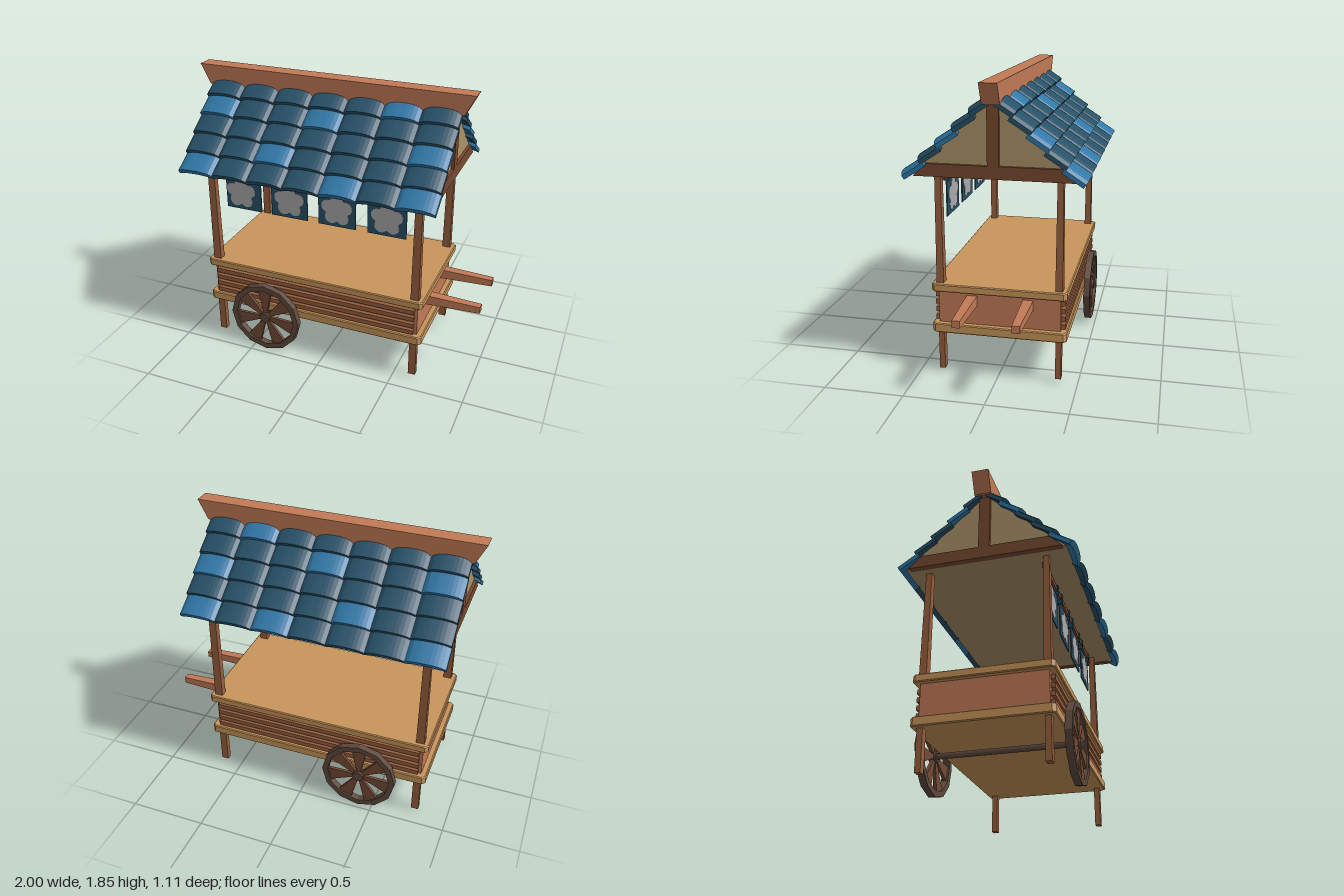
import * as THREE from 'three';

const mat = (name, color, side = THREE.FrontSide) => {
  const m = new THREE.MeshStandardMaterial({ color, side });
  m.name = name;
  return m;
};

export function createModel() {
  const M = {
    tile: mat('dark blue tile', 0x265067),
    tileLight: mat('light blue tile', 0x3077a6),
    wood: mat('post wood', 0x98603f),
    terracotta: mat('reddish wood', 0xc27a56),
    beam: mat('dark beam wood', 0x78492f),
    trim: mat('golden wood', 0xc8955a),
    gable: mat('tan plaster', 0xab9268),
    rim: mat('wheel rim', 0x5f4a3e),
    spoke: mat('wheel spokes', 0x734b36),
    flower: mat('pale flower', 0xaaaaaa),
  };
  const root = new THREE.Group();
  root.name = 'marketCart';
  const CX = -0.08; // middle of the cart body

  const add = (name, geo, material, x = 0, y = 0, z = 0, parent = root) => {
    const m = new THREE.Mesh(geo, material);
    m.name = name;
    m.position.set(x, y, z);
    parent.add(m);
    return m;
  };
  const box = (name, material, x0, x1, y0, y1, z0, z1, parent = root) =>
    add(name, new THREE.BoxGeometry(x1 - x0, y1 - y0, z1 - z0), material,
      (x0 + x1) / 2, (y0 + y1) / 2, (z0 + z1) / 2, parent);
  const shape = (pts) => new THREE.Shape(pts.map((p) => new THREE.Vector2(...p)));
  const extrude = (s, depth, bevel = 0) => new THREE.ExtrudeGeometry(s, {
    depth, bevelEnabled: bevel > 0, bevelSize: bevel, bevelThickness: bevel, bevelOffset: -bevel, bevelSegments: 1,
  });
  // Box along y whose top is scaled
  const tapered = (w, h, d, sw, sd) => {
    const g = new THREE.BoxGeometry(w, h, d);
    const p = g.attributes.position;
    for (let i = 0; i < p.count; i++) {
      if (p.getY(i) > 0) p.setXYZ(i, p.getX(i) * sw, p.getY(i), p.getZ(i) * sd);
    }
    g.computeVertexNormals();
    return g;
  };

  // Cart body, with chamfered slabs above and below
  box('cartBody', M.terracotta, -0.805, 0.645, 0.33, 0.56, -0.39, 0.372);
  const slab = (name, y0, y1) => {
    const a = 0.761, b = 0.42, c = 0.02;
    const s = shape([[-a + c, -b], [a - c, -b], [a, -b + c], [a, b - c], [a - c, b], [-a + c, b], [-a, b - c], [-a, -b + c]]);
    const g = extrude(s, y1 - y0 - 0.012, 0.006);
    g.translate(0, 0, 0.006);
    g.rotateX(-Math.PI / 2);
    add(name, g, M.trim, CX, y0, -0.01);
  };
  slab('tableTop', 0.55, 0.6);
  slab('bottomTrim', 0.28, 0.34);

  // Slats along the front and back
  for (let i = 0; i < 4; i++) {
    const y = 0.362 + i * 0.05;
    box('frontSlat', M.wood, -0.786, 0.626, y - 0.014, y + 0.016, 0.36, 0.398);
    box('backSlat', M.wood, -0.786, 0.626, y - 0.014, y + 0.016, -0.416, -0.38);
  }

  // Legs and slightly tapering roof posts
  for (const x of [-0.783, 0.624]) {
    for (const z of [0.36, -0.378]) {
      box('leg', M.wood, x - 0.024, x + 0.024, 0.022, 0.32, z - 0.018, z + 0.018);
      add('roofPost', tapered(0.054, 0.74, 0.046, 0.85, 0.8), M.wood, x, 0.95, z);
    }
  }

  // Push handles
  for (const z of [0.162, -0.188]) {
    const g = tapered(0.066, 0.37, 0.064, 0.68, 0.76);
    g.rotateZ(-Math.PI / 2);
    add('handle', g, M.terracotta, 0.815, 0.494, z);
  }

  // Wheels: twelve-sided rim, wedge spokes and hub
  const ring = (r) => Array.from({ length: 12 }, (_, i) => {
    const a = i * Math.PI / 6;
    return [r * Math.cos(a), r * Math.sin(a)];
  });
  const rimShape = shape(ring(0.25));
  rimShape.holes.push(new THREE.Path(ring(0.212).map((p) => new THREE.Vector2(...p))));
  const rimGeo = extrude(rimShape, 0.044);
  rimGeo.translate(0, 0, -0.022);
  const spokeGeo = extrude(shape([[-0.01, 0.02], [0.01, 0.02], [0.05, 0.212], [-0.05, 0.212]]), 0.02);
  spokeGeo.translate(0, 0, -0.01);
  const hubGeo = new THREE.CylinderGeometry(0.036, 0.036, 0.05, 10).rotateX(Math.PI / 2);
  for (const z of [0.435, -0.45]) {
    const wheel = new THREE.Group();
    wheel.name = 'wheel';
    wheel.position.set(-0.403, 0.25, z);
    root.add(wheel);
    add('wheelRim', rimGeo, M.rim, 0, 0, 0, wheel);
    add('wheelHub', hubGeo, M.rim, 0, 0, 0, wheel);
    for (let i = 0; i < 7; i++) {
      add('spoke', spokeGeo, M.spoke, 0, 0, 0, wheel).rotation.z = i * Math.PI * 2 / 7;
    }
  }
  add('axle', new THREE.CylinderGeometry(0.02, 0.02, 0.87, 8).rotateX(Math.PI / 2), M.rim, -0.403, 0.25, -0.0075);

  // Roof core with plaster gables and a flat ceiling
  const core = extrude(shape([[-0.5, 1.292], [0.5, 1.292], [0, 1.752]]), 1.59);
  core.translate(0, 0, -0.795);
  core.rotateY(Math.PI / 2);
  add('roofCore', core, M.gable, CX, 0, 0);

  // Gable timbers
  for (const s of [-1, 1]) {
    const g = extrude(shape([[-0.478, 1.288], [0.478, 1.288], [0.4, 1.365], [-0.4, 1.365]]), 0.04);
    g.translate(0, 0, -0.02);
    g.rotateY(Math.PI / 2);
    add('gableTie', g, M.beam, CX + s * 0.795, 0, 0);
    const x = CX + s * 0.795;
    box('gablePost', M.beam, x - 0.02, x + 0.02, 1.36, 1.735, -0.035, 0.035);
  }

  // Ridge beam with slanted ends
  const ridge = extrude(shape([[-1, 1.85], [-0.935, 1.722], [0.78, 1.722], [0.845, 1.85]]), 0.106);
  add('ridgeBeam', ridge, M.terracotta, 0, 0, -0.054);

  // Arched roof tiles in stepped rows, mirrored to both slopes
  const COLS = 7, ROWS = 5, W = 0.2407, L = 0.15;
  const arch = (t) => 1 - Math.abs(t) ** 2.6;
  const top = [], under = [];
  for (let i = 0; i <= 10; i++) {
    const t = i / 5 - 1;
    under.push([t * W / 2, 0.018 * arch(t) - 0.013]);
    top.unshift([t * W / 2, 0.02 + 0.022 * arch(t) - (Math.abs(t) === 1 ? 0.006 : 0)]);
  }
  const tileGeo = extrude(shape([...under, ...top]), L);
  tileGeo.translate(0, 0, -L);
  tileGeo.rotateX(0.576);
  const light = ['0,0', '4,0', '6,0', '2,1', '6,2', '0,3', '3,3', '5,4']; // column,row from the eave
  for (const side of [1, -1]) {
    const slope = new THREE.Group();
    slope.name = side > 0 ? 'frontRoofSlope' : 'backRoofSlope';
    root.add(slope);
    for (let r = 0; r < ROWS; r++) {
      for (let c = 0; c < COLS; c++) {
        const m = light.includes(`${c},${r}`) ? M.tileLight : M.tile;
        const tile = add('roofTile', tileGeo, m, -0.92 + W * (c + 0.5), 1.28 + 0.095 * r, side * (0.531 - 0.102 * r), slope);
        if (side < 0) tile.rotation.y = Math.PI;
      }
    }
  }

  // Hanging rail and cloth banners with five-petalled flowers on both faces
  box('bannerRail', M.beam, -0.77, 0.61, 1.24, 1.275, 0.326, 0.35);
  const petals = Array.from({ length: 50 }, (_, i) => {
    const a = i * Math.PI / 25;
    const r = 0.066 + 0.041 * Math.abs(Math.cos(2.5 * (a - Math.PI / 2))) ** 0.6;
    return [r * Math.cos(a), r * Math.sin(a)];
  });
  const flowerGeo = extrude(shape(petals), 0.014);
  flowerGeo.translate(0, 0, -0.007);
  for (const [x, dx] of [[-0.57, -0.018], [-0.243, 0], [0.085, 0], [0.415, 0]]) {
    const banner = new THREE.Group();
    banner.name = 'banner';
    banner.position.set(x, 0, 0.338);
    root.add(banner);
    box('cloth', M.tile, -0.126, 0.126, 0.993, 1.225, -0.004, 0.004, banner);
    for (const s of [-1, 1]) {
      box('strap', M.tile, s * 0.11 - 0.016, s * 0.11 + 0.016, 1.22, 1.285, -0.017, 0.017, banner);
    }
    add('flower', flowerGeo, M.flower, dx, 1.108, 0, banner);
  }
  return root;
}
